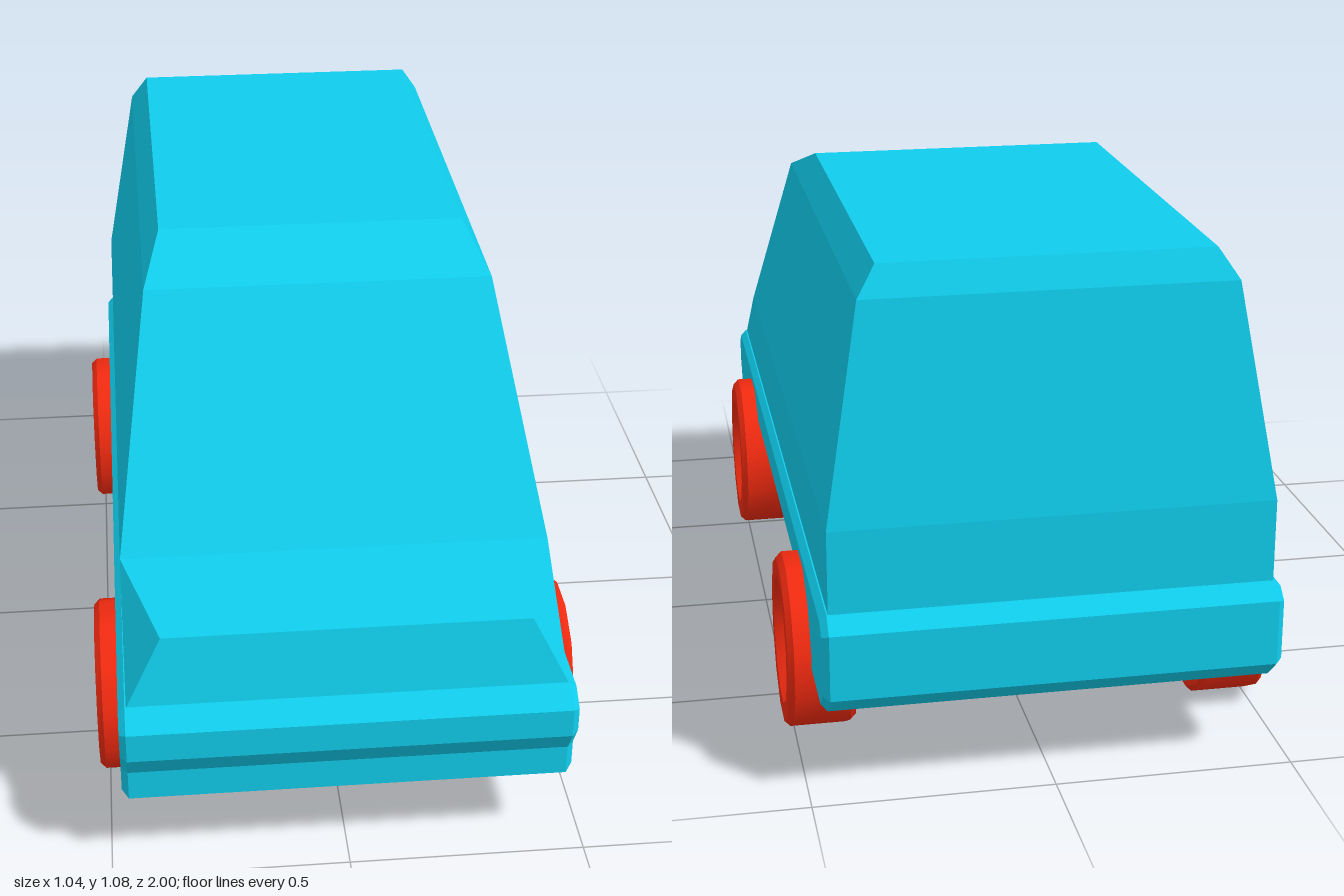
import * as THREE from 'three';
import { toCreasedNormals } from 'three/addons/utils/BufferGeometryUtils.js';
import { ConvexGeometry } from 'three/addons/geometries/ConvexGeometry.js';

const paint = new THREE.MeshStandardMaterial({ color: 0x10cdec });
const red = new THREE.MeshStandardMaterial({ color: 0xf02a10 });

function addMesh(parent, name, geometry, material) {
  const mesh = new THREE.Mesh(geometry, material);
  mesh.name = name;
  parent.add(mesh);
  return mesh;
}

// Faceted solid around [halfWidth, y, z] points mirrored across x = 0
function mirroredHull(points) {
  const all = points.flatMap(([x, y, z]) => [new THREE.Vector3(x, y, z), new THREE.Vector3(-x, y, z)]);
  return new ConvexGeometry(all);
}

// Side outline [z, y] extruded across the car with small bevelled edges
function lowerBodyGeometry() {
  const outline = [
    [0.95, 0.4], [1, 0.365], [1, 0.3], [0.965, 0.245], [0.965, 0.178], [0.58, 0.178], [0.58, 0.3],
    [-0.45, 0.3], [-0.45, 0.184], [-0.95, 0.184], [-1, 0.23], [-1, 0.37], [-0.965, 0.4],
  ];
  const bevel = 0.014;
  const halfWidth = 0.472;
  const depth = 2 * (halfWidth - bevel);
  const geometry = new THREE.ExtrudeGeometry(new THREE.Shape(outline.map(([z, y]) => new THREE.Vector2(z, y))), {
    depth, bevelEnabled: true, bevelThickness: bevel, bevelSize: bevel, bevelOffset: -bevel, bevelSegments: 1,
  });
  return geometry.translate(0, 0, -depth / 2).rotateY(-Math.PI / 2);
}

// Twelve-sided wheel with chamfered tread and a recessed hub on both faces
function wheelGeometry() {
  const outer = [[0.19, 0.06], [0.178, 0.0725], [0.138, 0.0725], [0.125, 0.05], [0, 0.05]];
  const inner = outer.map(([r, h]) => [r, -h]).reverse();
  const profile = [...inner, ...outer].map(([r, h]) => new THREE.Vector2(r, h));
  const lathe = new THREE.LatheGeometry(profile, 12, Math.PI / 12);
  return toCreasedNormals(lathe.rotateZ(-Math.PI / 2), 0.6);
}

export function createModel() {
  const car = new THREE.Group();
  car.name = 'car';

  addMesh(car, 'lowerBody', lowerBodyGeometry(), paint);

  // Tapered cabin with bevelled roof edges
  addMesh(car, 'cabin', mirroredHull([
    [0.455, 0.395, 0.67], [0.455, 0.575, 0.67], [0.38, 1.02, 0.3], [0.34, 1.082, 0.12],
    [0.34, 1.082, -0.87], [0.38, 1.02, -0.9], [0.455, 0.575, -0.962], [0.455, 0.395, -0.962],
  ]), paint);

  // Wedge-shaped hood narrowing towards the nose
  addMesh(car, 'hood', mirroredHull([
    [0.455, 0.395, 0.67], [0.455, 0.575, 0.67], [0.38, 0.54, 0.915], [0.455, 0.398, 0.95],
  ]), paint);

  // Four wheels
  const wheel = wheelGeometry();
  for (const [end, z] of [['front', 0.565], ['rear', -0.605]]) {
    for (const [side, sign] of [['Left', 1], ['Right', -1]]) {
      addMesh(car, `${end}${side}Wheel`, wheel, red).position.set(sign * 0.4475, 0.1835, z);
    }
  }
  return car;
}
